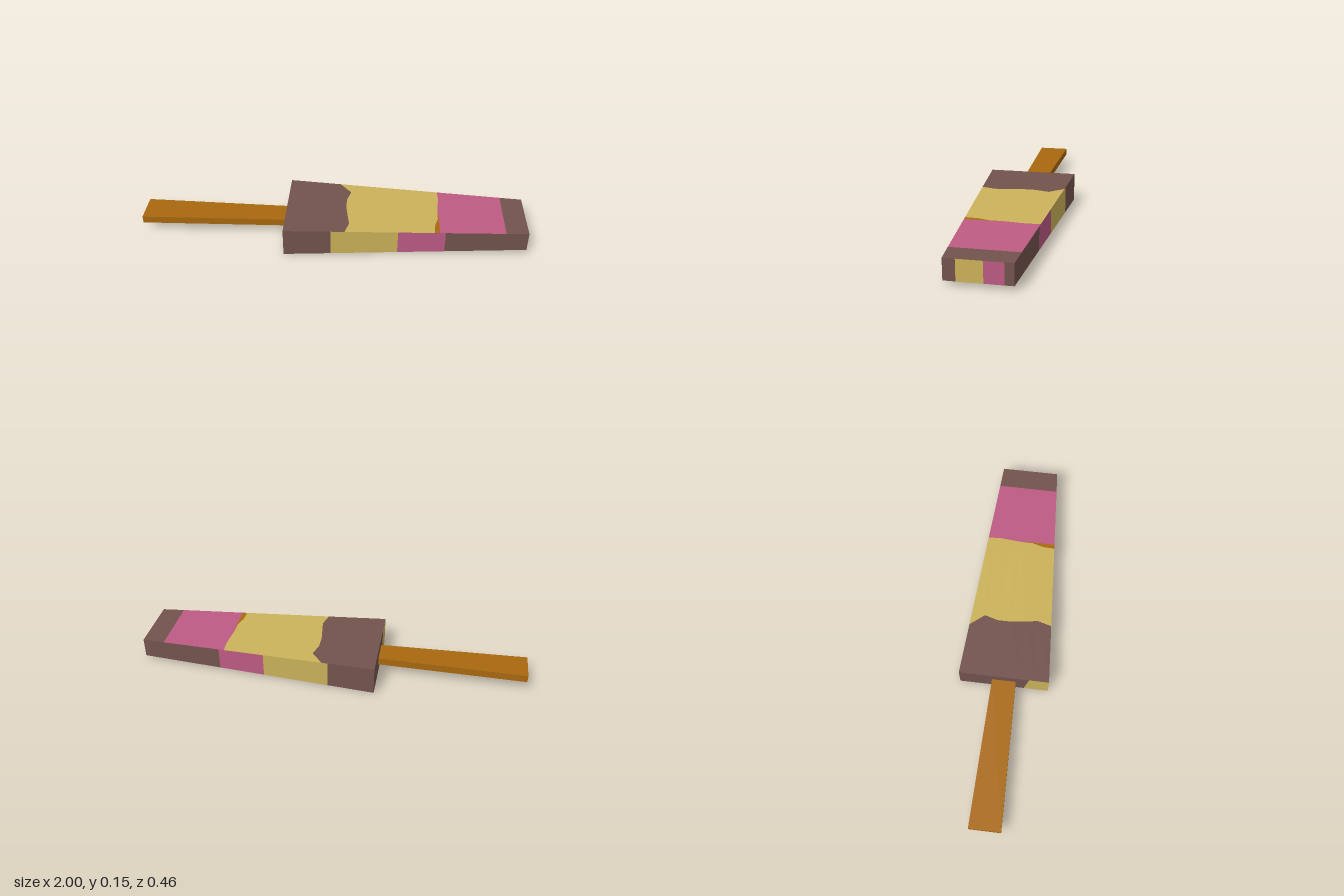
import * as THREE from 'three';

const X0 = -0.24, X1 = 1;
const lerp = THREE.MathUtils.lerp;
const along = (x) => (x - X0) / (X1 - X0);
// tapering cross-section of the ice block
const halfZ = (x) => lerp(0.232, 0.152, along(x));
const yAt = (x, v) => lerp(lerp(0.002, 0.025, along(x)), lerp(0.149, 0.126, along(x)), (v + 1) / 2);

// One face cut into colour bands. Each edge is a number or a row of values
// (a wavy edge); point(u, v) maps to space with v from -1 to 1.
function bandedFace(name, edges, mats, point) {
  const rows = Math.max(...edges.map((e) => (Array.isArray(e) ? e.length : 2))) - 1;
  const at = (e, r) => (Array.isArray(e) ? e[r] : e);
  const group = new THREE.Group();
  group.name = name;
  mats.forEach((mat, i) => {
    const pos = [];
    for (let r = 0; r < rows; r++) {
      const v0 = (2 * r) / rows - 1, v1 = (2 * (r + 1)) / rows - 1;
      const a = point(at(edges[i], r), v0), b = point(at(edges[i + 1], r), v0);
      const c = point(at(edges[i + 1], r + 1), v1), d = point(at(edges[i], r + 1), v1);
      pos.push(...a, ...b, ...c, ...a, ...c, ...d);
    }
    const geo = new THREE.BufferGeometry();
    geo.setAttribute('position', new THREE.Float32BufferAttribute(pos, 3));
    geo.computeVertexNormals();
    const mesh = new THREE.Mesh(geo, mat);
    mesh.name = `${name}Band${i + 1}`;
    group.add(mesh);
  });
  return group;
}

export function createModel() {
  const material = (name, color) => {
    const m = new THREE.MeshStandardMaterial({ color });
    m.name = name;
    return m;
  };
  const brown = material('chocolate', 0x73534e);
  const yellow = material('vanilla', 0xcbb25a);
  const pink = material('strawberry', 0xbd5b84);
  const wood = material('wood', 0xa9690f);

  const model = new THREE.Group();
  model.name = 'icePop';

  // broad faces with wavy flavour edges
  const wave = [0.07, 0.09, 0.08, 0.07, 0.07, 0.09, 0.03];
  const drip = [0.525, 0.528, 0.545, 0.545, 0.55, 0.555, 0.55];
  const wave2 = [0.55, 0.55, 0.55, 0.545, 0.55, 0.555, 0.55];
  model.add(bandedFace('topFace', [X0, wave, drip, wave2, 0.885, X1],
    [brown, yellow, wood, pink, brown], (x, v) => [x, yAt(x, 1), -v * halfZ(x)]));
  model.add(bandedFace('bottomFace', [X0, [...wave].reverse(), 0.55, 0.885, X1],
    [brown, yellow, pink, brown], (x, v) => [x, yAt(x, -1), v * halfZ(x)]));

  // narrow long sides
  for (const s of [1, -1]) {
    model.add(bandedFace(s > 0 ? 'frontSide' : 'backSide', [X0, 0, 0.34, 0.58, X1],
      [brown, yellow, pink, brown], (x, v) => [x, yAt(x, s * v), s * halfZ(x)]));
  }

  // tip and the end that holds the stick
  model.add(bandedFace('tip', [-0.152, -0.11, -0.022, 0.096, 0.152],
    [brown, pink, yellow, brown], (z, v) => [X1, yAt(X1, -v), z]));
  model.add(bandedFace('stickEnd', [-0.232, [0.105, 0.13], 0.232],
    [brown, yellow], (z, v) => [X0, yAt(X0, v), z]));

  // stick, widening towards its free end
  const geo = new THREE.BoxGeometry(0.78, 0.038, 2);
  const p = geo.attributes.position;
  for (let i = 0; i < p.count; i++) p.setZ(i, p.getZ(i) * (p.getX(i) < 0 ? 0.081 : 0.061));
  geo.computeVertexNormals();
  const stick = new THREE.Mesh(geo, wood);
  stick.name = 'stick';
  stick.position.set(-0.61, 0.076, 0);
  model.add(stick);

  return model;
}
